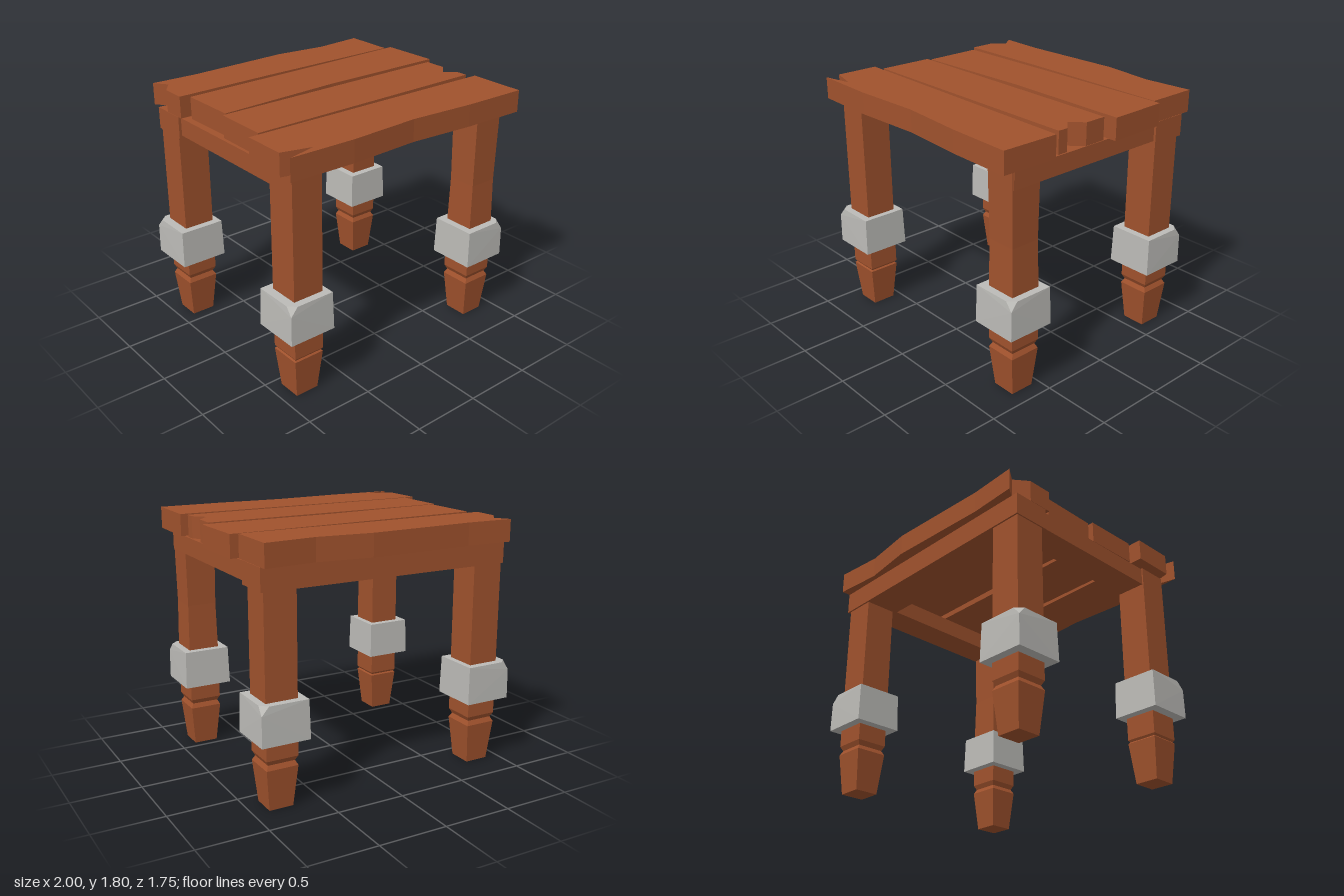
import * as THREE from 'three';
import { ConvexGeometry } from 'three/addons/geometries/ConvexGeometry.js';

const wood = new THREE.MeshStandardMaterial({ color: 0xa0522d });
wood.name = 'wood';
const metal = new THREE.MeshStandardMaterial({ color: 0xbcbbb7 });
metal.name = 'metal';

function addMesh(parent, name, geometry, material) {
  const mesh = new THREE.Mesh(geometry, material);
  mesh.name = name;
  parent.add(mesh);
  return mesh;
}

// Box given by its low and high limits on each axis
function addBox(parent, name, [x0, x1], [y0, y1], [z0, z1]) {
  const mesh = addMesh(parent, name, new THREE.BoxGeometry(x1 - x0, y1 - y0, z1 - z0), wood);
  mesh.position.set((x0 + x1) / 2, (y0 + y1) / 2, (z0 + z1) / 2);
}

// Four-sided turned post from [half width, height] pairs, with flat faces
function squarePost(profile) {
  const points = profile.map(([half, y]) => new THREE.Vector2(half * Math.SQRT2, y));
  const geometry = new THREE.LatheGeometry(points, 4, Math.PI / 4).toNonIndexed();
  geometry.computeVertexNormals();
  return geometry;
}

// Tapered block with the outer top corner chipped off
function cuffGeometry(sx, sz) {
  const b = 0.175, t = 0.168, y0 = 0.485, y1 = 0.76;
  const points = [
    [b, y0, b], [-b, y0, b], [b, y0, -b], [-b, y0, -b],
    [-t, y1, t], [t, y1, -t], [-t, y1, -t],
    [t - 0.05, y1, t], [t, y1, t - 0.05], [0.173, 0.70, 0.173],
  ].map(([x, y, z]) => new THREE.Vector3(x * sx, y, z * sz));
  return new ConvexGeometry(points);
}

// Plank outlines as [x, z]
const planks = {
  backPlank: [[-0.935, -0.865], [-0.59, -0.85], [0.18, -0.88], [0.57, -0.835], [0.935, -0.865],
    [0.935, -0.49], [-0.2, -0.498], [-0.94, -0.49], [-0.94, -0.67], [-0.865, -0.77]],
  backMiddlePlank: [[-0.885, -0.44], [0.99, -0.48], [1, -0.045], [0.04, -0.055], [-0.88, -0.015]],
  frontMiddlePlank: [[-0.91, 0], [0.935, 0], [0.935, 0.16], [0.85, 0.245], [0.93, 0.325],
    [0.93, 0.4], [-0.915, 0.405]],
  frontPlank: [[-1, 0.425], [0, 0.44], [0.965, 0.455], [0.96, 0.875], [0.48, 0.865],
    [0, 0.83], [-0.52, 0.855], [-1, 0.845], [-0.79, 0.795], [-1, 0.74]],
};

export function createModel() {
  const model = new THREE.Group();
  model.name = 'woodenTable';

  // Table top
  const top = new THREE.Group();
  top.name = 'tableTop';
  model.add(top);
  for (const [name, outline] of Object.entries(planks)) {
    const shape = new THREE.Shape(outline.map(([x, z]) => new THREE.Vector2(x, -z)));
    const geometry = new THREE.ExtrudeGeometry(shape, { depth: 0.158, bevelEnabled: false });
    geometry.rotateX(-Math.PI / 2).translate(0, 1.642, 0);
    addMesh(top, name, geometry, wood);
  }

  // Rails under the planks
  addBox(model, 'backRail', [-0.94, 0.935], [1.482, 1.64], [-0.8, -0.53]);
  addBox(model, 'rightRail', [-0.92, -0.703], [1.5, 1.63], [-0.53, 0.755]);
  addBox(model, 'leftRail', [0.69, 0.918], [1.5, 1.63], [-0.53, 0.755]);

  // Legs with a carved groove, tapered foot and metal cuff
  for (const sx of [-1, 1]) {
    for (const sz of [-1, 1]) {
      const leg = new THREE.Group();
      leg.name = (sz > 0 ? 'front' : 'back') + (sx > 0 ? 'Left' : 'Right') + 'Leg';
      leg.position.set(sx > 0 ? 0.797 : -0.815, 0, sz > 0 ? 0.647 : -0.673);
      model.add(leg);
      const shallow = sx < 0 && sz > 0;
      const waist = sx > 0 && sz > 0 ? 0.108 : 0.115;
      addMesh(leg, 'post', squarePost([
        [0, 0], [0.087, 0], [0.115, 0.295],
        [shallow ? 0.105 : 0.098, shallow ? 0.305 : 0.328],
        [0.115, shallow ? 0.32 : 0.362],
        [0.115, 0.7], [waist, 1.1], [0.115, 1.635], [0, 1.635],
      ]), wood);
      addMesh(leg, 'cuff', cuffGeometry(sx, sz), metal).position.x = sx > 0 ? -0.003 : -0.01;
    }
  }
  return model;
}
